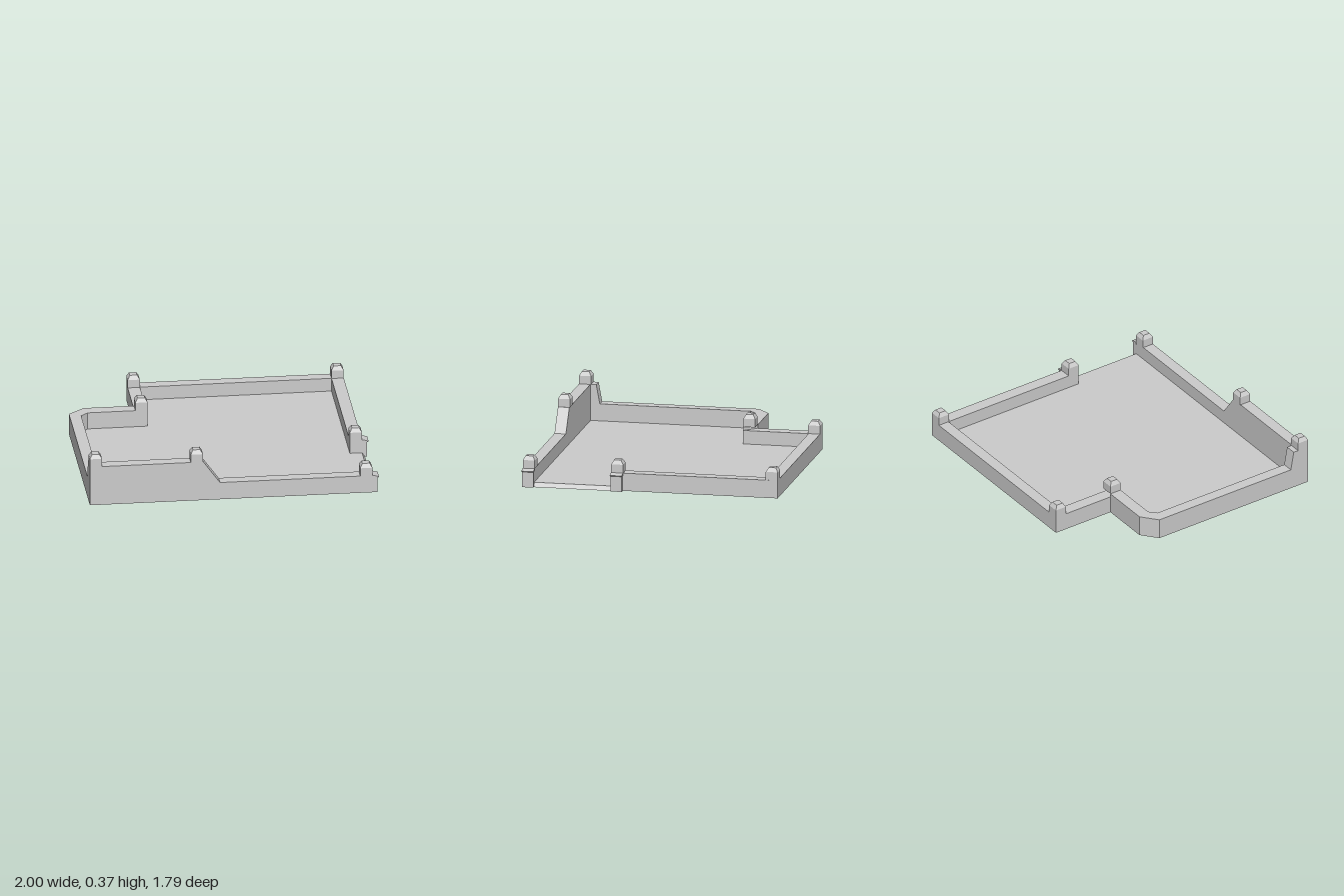
import * as THREE from 'three';

const material = new THREE.MeshStandardMaterial({ color: 0xcccccc, flatShading: true, side: THREE.DoubleSide });
const FLOOR_Y = 0.03;

// wall stations: outer x, outer z, inner x, inner z, top height
const stations = [
  [0.955, 0.275, 0.87, 0.275, 0.125],
  [0.955, -0.895, 0.87, -0.815, 0.125],
  [-0.54, -0.895, -0.455, -0.815, 0.125],
  [-0.54, -0.44, -0.455, -0.355, 0.125],
  [-0.54, -0.44, -0.455, -0.355, 0.15],
  [-0.89, -0.44, -0.87, -0.355, 0.15],
  [-1, -0.35, -0.92, -0.31, 0.15],
  [-1, 0.75, -0.92, 0.75, 0.15],
  [-1, 0.775, -0.92, 0.775, 0.285],
  [-1, 0.895, -0.92, 0.815, 0.285],
  [-0.215, 0.895, -0.215, 0.815, 0.285],
  [-0.1, 0.895, -0.1, 0.815, 0.125],
  [0.955, 0.895, 0.955, 0.815, 0.125],
];

function quads(list) {
  const positions = [];
  for (const [a, b, c, d] of list) positions.push(...a, ...b, ...c, ...a, ...c, ...d);
  const geometry = new THREE.BufferGeometry();
  geometry.setAttribute('position', new THREE.Float32BufferAttribute(positions, 3));
  geometry.computeVertexNormals();
  return geometry;
}

function addMesh(parent, name, geometry, x = 0, y = 0, z = 0) {
  const mesh = new THREE.Mesh(geometry, material);
  mesh.name = name;
  mesh.position.set(x, y, z);
  parent.add(mesh);
  return mesh;
}

// hollow parapet, open underneath
function wallGeometry() {
  const ring = stations.map(([ox, oz, ix, iz, h]) => ({
    ob: [ox, 0, oz], ot: [ox, h, oz], it: [ix, h, iz], ib: [ix, FLOOR_Y, iz],
  }));
  const list = [];
  for (let i = 0; i < ring.length - 1; i++) {
    const a = ring[i], b = ring[i + 1];
    list.push([a.ob, b.ob, b.ot, a.ot], [a.ot, b.ot, b.it, a.it], [a.it, b.it, b.ib, a.ib]);
  }
  const first = ring[0], last = ring[ring.length - 1];
  list.push([first.ob, first.ot, first.it, first.ib], [last.ib, last.it, last.ot, last.ob]);
  return quads(list);
}

// square post with a bevelled cap
function addPost(parent, x, y, z) {
  const post = new THREE.Group();
  post.name = 'cornerPost';
  post.position.set(x, y, z);
  addMesh(post, 'postBody', new THREE.BoxGeometry(0.084, 0.058, 0.084), 0, 0.029, 0);
  const cap = new THREE.CylinderGeometry(0.025 * Math.SQRT2, 0.042 * Math.SQRT2, 0.028, 4);
  cap.rotateY(Math.PI / 4);
  addMesh(post, 'postCap', cap, 0, 0.072, 0);
  parent.add(post);
}

// gate pier: slim block with a sloping, slightly overhanging cap
function addPier(parent, z) {
  const pier = new THREE.Group();
  pier.name = 'gatePier';
  pier.position.z = z;
  addMesh(pier, 'pierBody', new THREE.BoxGeometry(0.04, 0.11, 0.08), 0.97, 0.055, 0);
  const profile = new THREE.Shape([[0.95, 0.108], [0.995, 0.108], [1, 0.115], [0.965, 0.125], [0.95, 0.125]]
    .map(([x, y]) => new THREE.Vector2(x, y)));
  const cap = new THREE.ExtrudeGeometry(profile, { depth: 0.084, bevelEnabled: false });
  addMesh(pier, 'pierCap', cap, 0, 0, -0.042);
  parent.add(pier);
}

export function createModel() {
  const model = new THREE.Group();
  model.name = 'walledRoof';

  addMesh(model, 'parapet', wallGeometry());

  // floor follows the inner edge of the walls and runs out to the opening
  const outline = stations.filter((s, i) => i !== 4).map((s) => new THREE.Vector2(s[2], -s[3]));
  outline.push(new THREE.Vector2(0.955, -0.275));
  const floor = new THREE.ShapeGeometry(new THREE.Shape(outline));
  floor.rotateX(-Math.PI / 2);
  addMesh(model, 'floor', floor, 0, FLOOR_Y, 0);

  // sloping sill of the side opening
  addMesh(model, 'sill', quads([
    [[0.975, 0, 0.815], [0.975, 0, 0.275], [0.955, FLOOR_Y, 0.275], [0.955, FLOOR_Y, 0.815]],
  ]));

  for (const z of [0.233, 0.853]) addPier(model, z);

  // posts: x, wall height, z
  for (const [x, y, z] of [
    [-0.958, 0.285, 0.853], [-0.26, 0.285, 0.853], [0.912, 0.125, 0.853], [0.912, 0.125, 0.233],
    [0.912, 0.125, -0.853], [-0.498, 0.125, -0.853], [-0.498, 0.15, -0.397],
  ]) addPost(model, x, y, z);

  return model;
}
